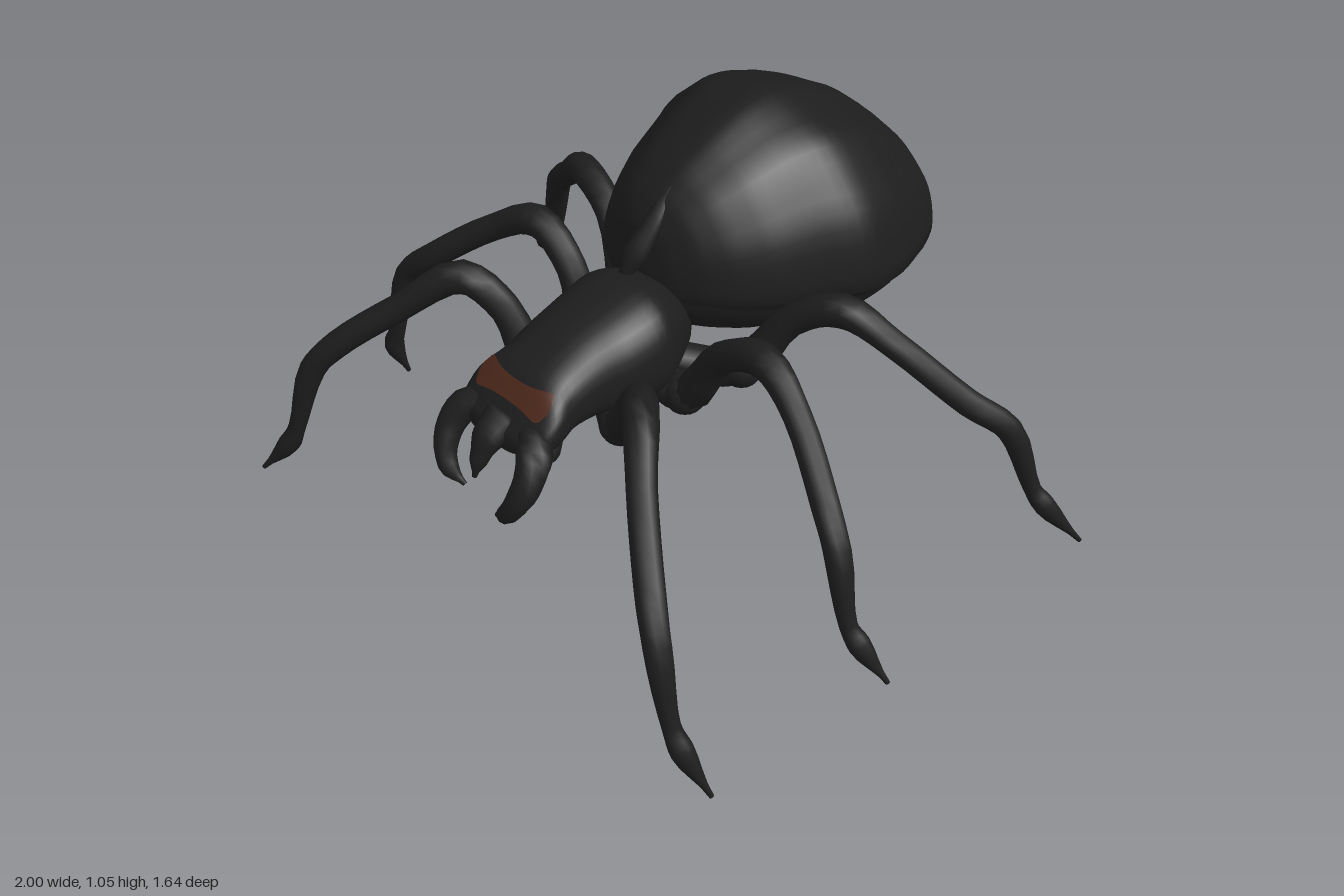
import * as THREE from 'three';

const black = new THREE.MeshStandardMaterial({ color: 0x1d1d1d });
black.name = 'black shell';
const brown = new THREE.MeshStandardMaterial({ color: 0x4c281b, side: THREE.DoubleSide });
brown.name = 'brown marking';

// Skin over a list of rings; each ring runs counterclockwise about the loft direction
function skin(rings, closed = true) {
  const n = rings[0].length, pos = [], idx = [];
  rings.forEach(r => r.forEach(p => pos.push(p.x, p.y, p.z)));
  for (let i = 0; i < rings.length - 1; i++) {
    for (let j = 0; j < (closed ? n : n - 1); j++) {
      const a = i * n + j, b = i * n + (j + 1) % n;
      idx.push(a, b, a + n, b, b + n, a + n);
    }
  }
  if (closed) {
    [0, rings.length - 1].forEach(i => {
      const c = new THREE.Vector3();
      rings[i].forEach(p => c.addScaledVector(p, 1 / n));
      const k = pos.length / 3;
      pos.push(c.x, c.y, c.z);
      for (let j = 0; j < n; j++) {
        const a = i * n + j, b = i * n + (j + 1) % n;
        if (i === 0) idx.push(k, b, a); else idx.push(k, a, b);
      }
    });
  }
  const g = new THREE.BufferGeometry();
  g.setAttribute('position', new THREE.Float32BufferAttribute(pos, 3));
  g.setIndex(idx);
  g.computeVertexNormals();
  return g;
}

// Body surface from sections [z, centre x, centre y, half width, height up, height down]
function bodySurface(sections, power, lump = () => 1) {
  const centre = new THREE.CatmullRomCurve3(sections.map(s => new THREE.Vector3(s[1], s[2], s[0])));
  const size = new THREE.CatmullRomCurve3(sections.map(s => new THREE.Vector3(s[3], s[4], s[5])));
  const bend = v => Math.sign(v) * Math.abs(v) ** power;
  return (t, angle, grow = 0) => {
    const c = centre.getPoint(t), s = size.getPoint(t);
    const x = bend(Math.cos(angle)), y = bend(Math.sin(angle)), k = lump(t, angle);
    c.x += (s.x + grow) * x * k;
    c.y += ((y > 0 ? s.y : s.z) + grow) * y * k;
    return c;
  };
}

function bodyGeometry(surface, steps, sides) {
  const rings = [];
  for (let i = 0; i <= steps; i++) {
    rings.push(Array.from({ length: sides }, (_, j) => surface(i / steps, j / sides * Math.PI * 2)));
  }
  return skin(rings);
}

// Tapered limb through points [x, y, z, radius]
function limb(points, sides = 10, detail = 4) {
  const curve = new THREE.CatmullRomCurve3(points.map(p => new THREE.Vector3(p[0], p[1], p[2])));
  const spans = points.length - 1, steps = spans * detail, rings = [];
  for (let i = 0; i <= steps; i++) {
    const t = i / steps, f = t * spans, k = Math.min(Math.floor(f), spans - 1);
    const r = THREE.MathUtils.lerp(points[k][3], points[k + 1][3], THREE.MathUtils.smoothstep(f - k, 0, 1));
    const T = curve.getTangent(t), c = curve.getPoint(t);
    const N = new THREE.Vector3(0, 0, 1).cross(T).normalize();
    const B = T.clone().cross(N);
    rings.push(Array.from({ length: sides }, (_, j) => {
      const a = j / sides * Math.PI * 2;
      return c.clone().addScaledVector(N, r * Math.cos(a)).addScaledVector(B, r * Math.sin(a));
    }));
  }
  return skin(rings);
}

export function createModel() {
  const model = new THREE.Group();
  const add = (name, geometry, material = black, parent = model) => {
    const mesh = new THREE.Mesh(geometry, material);
    mesh.name = name;
    parent.add(mesh);
    return mesh;
  };

  // Large abdomen: tall dome above a side ridge, shallower belly tucked in below
  const abdomen = bodySurface([
    [-0.818, 0.05, 0.63, 0.03, 0.03, 0.02],
    [-0.80, 0.01, 0.63, 0.15, 0.08, 0.03],
    [-0.75, 0.03, 0.62, 0.24, 0.18, 0.045],
    [-0.70, 0.03, 0.61, 0.29, 0.255, 0.08],
    [-0.60, 0.01, 0.61, 0.36, 0.34, 0.15],
    [-0.48, 0.02, 0.61, 0.385, 0.405, 0.185],
    [-0.36, 0.015, 0.62, 0.4, 0.43, 0.195],
    [-0.24, 0.02, 0.63, 0.345, 0.415, 0.195],
    [-0.12, 0.02, 0.64, 0.295, 0.36, 0.185],
    [-0.03, 0.015, 0.65, 0.24, 0.295, 0.16],
    [0.03, 0.01, 0.66, 0.185, 0.23, 0.14],
    [0.07, 0.015, 0.66, 0.11, 0.165, 0.1],
    [0.09, 0.02, 0.67, 0.03, 0.06, 0.04],
  ], 1, (t, a) => {
    const fade = Math.sin(Math.PI * t);
    const belly = Math.sin(a) < -0.08 ? 0.94 : 1;
    return belly * (1 + 0.013 * fade * Math.cos(12 * (a - 1.48)) * Math.max(0, Math.sin(a)));
  });
  add('abdomen', bodyGeometry(abdomen, 48, 60));
  add('abdomenFrontRidge', limb([[0.04, 0.9, -0.01, 0.02], [0.04, 0.83, 0.055, 0.026], [0.03, 0.76, 0.105, 0.032], [0.02, 0.7, 0.14, 0.015], [0.02, 0.68, 0.15, 0.005]]));
  add('spinneret', limb([[-0.1, 0.61, -0.7, 0.03], [-0.1, 0.585, -0.73, 0.025], [-0.1, 0.565, -0.75, 0.01]]));

  // Thorax and head in one tapering surface
  const front = bodySurface([
    [0.02, 0.04, 0.55, 0.10, 0.10, 0.10],
    [0.10, 0.05, 0.56, 0.14, 0.14, 0.13],
    [0.18, 0.055, 0.56, 0.17, 0.16, 0.14],
    [0.28, 0.055, 0.55, 0.16, 0.15, 0.13],
    [0.36, 0.045, 0.54, 0.145, 0.13, 0.10],
    [0.44, 0.04, 0.52, 0.14, 0.11, 0.08],
    [0.50, 0.04, 0.51, 0.155, 0.085, 0.08],
    [0.55, 0.04, 0.49, 0.15, 0.05, 0.06],
    [0.59, 0.04, 0.47, 0.09, 0.02, 0.03],
  ], 0.8);
  add('thoraxAndHead', bodyGeometry(front, 32, 32));

  // Brown band across the brow: two rounded lobes joined by a narrower bridge
  const band = [];
  for (let i = 0; i <= 8; i++) {
    band.push(Array.from({ length: 25 }, (_, j) => {
      const s = j / 12 - 1;
      const half = (0.045 + 0.055 * s * s) * Math.sqrt(1 - 0.95 * s ** 8);
      return front(0.82 - 0.035 * s * s + half * (i / 4 - 1), Math.PI / 2 - s * 0.8, 0.006);
    }));
  }
  add('browMarking', skin(band, false), brown);

  // Curved mandibles, central mouthpart and lower palps
  add('leftMandible', limb([[0.12, 0.49, 0.53, 0.04], [0.18, 0.47, 0.58, 0.045], [0.2, 0.41, 0.63, 0.036], [0.17, 0.34, 0.66, 0.027], [0.12, 0.3, 0.655, 0.006]]));
  add('rightMandible', limb([[-0.04, 0.49, 0.53, 0.04], [-0.09, 0.47, 0.57, 0.042], [-0.1, 0.41, 0.62, 0.035], [-0.07, 0.34, 0.65, 0.026], [-0.02, 0.3, 0.64, 0.006]]));
  add('mouthpart', limb([[0.04, 0.5, 0.55, 0.05], [0.04, 0.47, 0.6, 0.042], [0.04, 0.42, 0.635, 0.025], [0.04, 0.37, 0.655, 0.006]]));
  for (const s of [-1, 1]) {
    add(s > 0 ? 'leftPalp' : 'rightPalp', limb([[0.04 + s * 0.06, 0.48, 0.46, 0.04], [0.04 + s * 0.09, 0.42, 0.5, 0.035], [0.04 + s * 0.08, 0.38, 0.53, 0.018]]));
  }

  // Six legs: hip, knee, shin joint, ankle and pointed foot
  const radii = [0.045, 0.052, 0.041, 0.044, 0.036, 0.036, 0.034, 0.023, 0.029, 0.006];
  const legs = {
    leftFrontLeg: [[0.08, 0.47, 0.26], [0.19, 0.43, 0.31], [0.3, 0.59, 0.36], [0.42, 0.68, 0.46], [0.55, 0.6, 0.58], [0.69, 0.47, 0.69], [0.76, 0.38, 0.735], [0.82, 0.19, 0.75], [0.85, 0.13, 0.745], [0.915, 0.01, 0.715]],
    rightFrontLeg: [[0, 0.47, 0.26], [-0.1, 0.43, 0.32], [-0.19, 0.6, 0.35], [-0.28, 0.68, 0.41], [-0.4, 0.58, 0.53], [-0.51, 0.47, 0.65], [-0.56, 0.39, 0.7], [-0.6, 0.2, 0.745], [-0.625, 0.14, 0.76], [-0.68, 0.055, 0.815]],
    leftMiddleLeg: [[0.08, 0.48, 0.16], [0.22, 0.44, 0.12], [0.34, 0.61, 0.115], [0.48, 0.675, 0.115], [0.61, 0.6, 0.14], [0.76, 0.46, 0.2], [0.83, 0.38, 0.23], [0.89, 0.2, 0.245], [0.92, 0.15, 0.235], [0.99, 0.055, 0.205]],
    rightMiddleLeg: [[0, 0.48, 0.16], [-0.14, 0.44, 0.12], [-0.21, 0.6, 0.11], [-0.33, 0.69, 0.115], [-0.46, 0.63, 0.16], [-0.61, 0.51, 0.255], [-0.7, 0.42, 0.28], [-0.74, 0.22, 0.305], [-0.76, 0.16, 0.305], [-0.745, 0.06, 0.275]],
    leftBackLeg: [[0.1, 0.47, 0.08], [0.25, 0.45, -0.05], [0.35, 0.61, -0.12], [0.47, 0.675, -0.17], [0.59, 0.61, -0.225], [0.75, 0.46, -0.335], [0.83, 0.38, -0.41], [0.89, 0.2, -0.455], [0.92, 0.15, -0.475], [0.995, 0.03, -0.55]],
    rightBackLeg: [[0, 0.47, 0.08], [-0.17, 0.45, -0.05], [-0.32, 0.61, -0.13], [-0.47, 0.665, -0.17], [-0.59, 0.58, -0.22], [-0.71, 0.475, -0.285], [-0.76, 0.38, -0.315], [-0.83, 0.19, -0.35], [-0.88, 0.145, -0.37], [-1, 0.08, -0.425]],
  };
  for (const [name, path] of Object.entries(legs)) {
    const leg = new THREE.Group();
    leg.name = name;
    model.add(leg);
    add(name + 'Limb', limb(path.map((p, i) => [...p, radii[i]])), black, leg);
    add(name + 'Hip', new THREE.SphereGeometry(0.057, 16, 12), black, leg).position.set(...path[1]);
  }
  return model;
}
